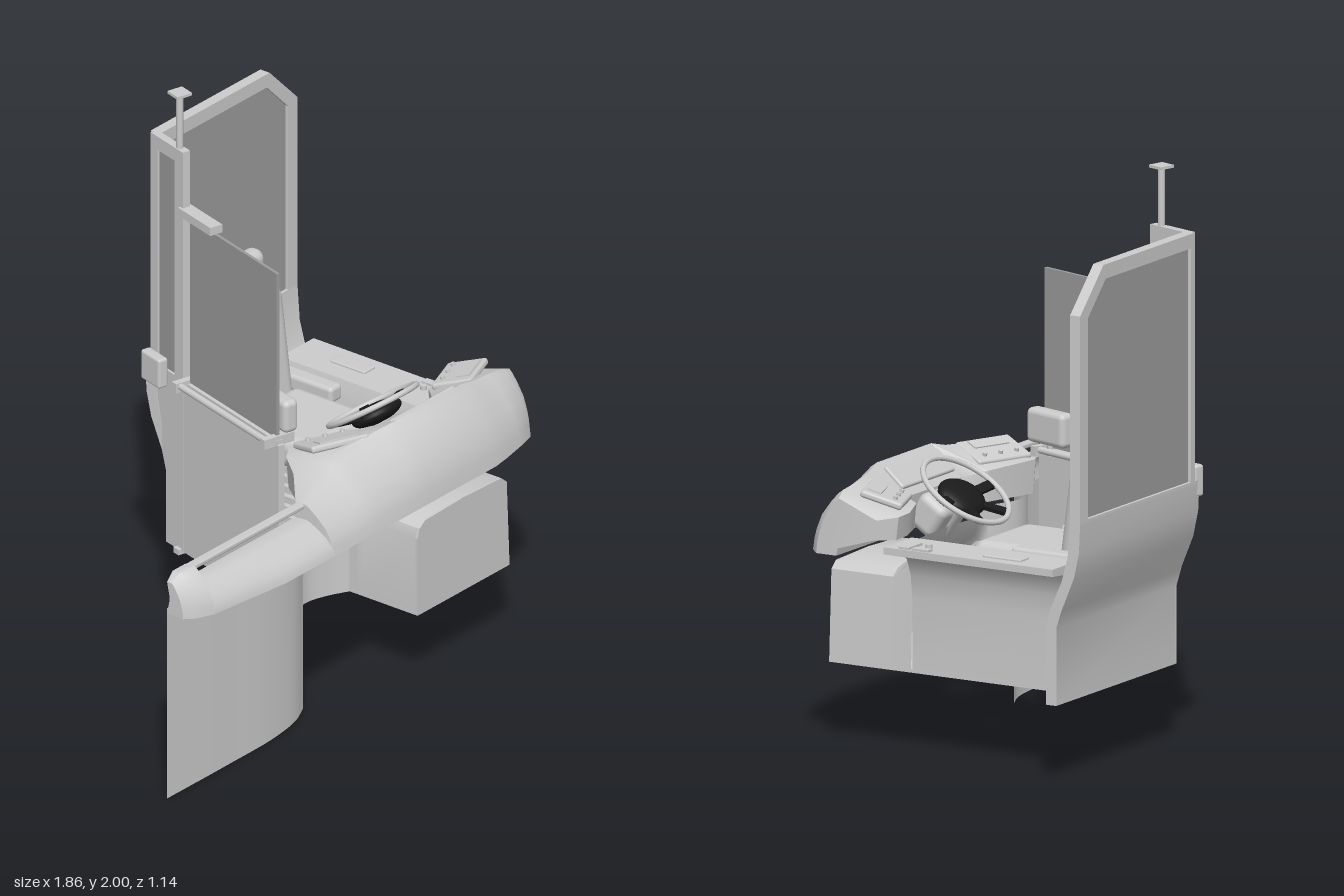
import * as THREE from 'three';
import { RoundedBoxGeometry } from 'three/addons/geometries/RoundedBoxGeometry.js';
import { toCreasedNormals } from 'three/addons/utils/BufferGeometryUtils.js';

const grey = new THREE.MeshStandardMaterial({ color: 0xcccccc, side: THREE.DoubleSide });
const glass = new THREE.MeshStandardMaterial({ color: 0x9c9c9c, side: THREE.DoubleSide });
const black = new THREE.MeshStandardMaterial({ color: 0x1a1a1a });

function add(parent, name, geometry, x = 0, y = 0, z = 0, material = grey) {
  const mesh = new THREE.Mesh(geometry, material);
  mesh.name = name;
  mesh.position.set(x, y, z);
  parent.add(mesh);
  return mesh;
}
const box = (w, h, d) => new THREE.BoxGeometry(w, h, d);
const rounded = (w, h, d, r) => new RoundedBoxGeometry(w, h, d, 4, r);
const cylinder = (r, h, n = 20) => new THREE.CylinderGeometry(r, r, h, n);
const outline = (pts) => new THREE.Shape(pts.map((p) => new THREE.Vector2(...p)));
const slab = (shape, depth) => new THREE.ExtrudeGeometry(shape, { depth, bevelEnabled: false });

// Skin over a list of equal-length point rows
function loft(rows, closed, crease = 0.7) {
  const n = rows[0].length, index = [], last = closed ? n : n - 1;
  for (let i = 0; i < rows.length - 1; i++) {
    for (let j = 0; j < last; j++) {
      const k = (j + 1) % n, a = i * n + j, b = i * n + k, c = a + n, d = b + n;
      index.push(a, c, b, b, c, d);
    }
  }
  if (closed) {
    const e = (rows.length - 1) * n;
    for (let j = 1; j < n - 1; j++) index.push(0, j, j + 1, e, e + j + 1, e + j);
  }
  const g = new THREE.BufferGeometry();
  g.setAttribute('position', new THREE.Float32BufferAttribute(rows.flat(2), 3));
  g.setIndex(index);
  return toCreasedNormals(g, crease);
}

// Upright sheet following a plan curve of [x, z] points
function sheet(points, y0, y1) {
  const curve = new THREE.CatmullRomCurve3(points.map(([x, z]) => new THREE.Vector3(x, 0, z)));
  return loft([y0, y1].map((y) => curve.getPoints(40).map((p) => [p.x, y, p.z])), false);
}

function buildDashboard(root) {
  // Each station: x, front z, crest y, crest z, back z, back y
  const stations = [
    [-0.93, 0.47, 0.82, 0.42, 0.40, 0.82], [-0.90, 0.50, 0.85, 0.43, 0.40, 0.85],
    [-0.832, 0.53, 0.855, 0.44, 0.40, 0.85], [-0.83, 0.53, 0.80, 0.45, 0.40, 0.795],
    [-0.5, 0.57, 0.80, 0.45, 0.40, 0.795], [-0.24, 0.57, 0.80, 0.45, 0.40, 0.795],
    [-0.238, 0.57, 0.855, 0.44, 0.40, 0.85], [-0.10, 0.57, 0.88, 0.39, 0.28, 0.865],
    [-0.04, 0.57, 0.915, 0.37, 0.20, 0.88], [0.02, 0.57, 0.93, 0.37, 0.165, 0.89],
    [0.22, 0.57, 0.95, 0.40, 0.23, 0.88], [0.28, 0.57, 0.965, 0.42, 0.30, 0.86],
    [0.63, 0.57, 0.965, 0.42, 0.30, 0.86], [0.70, 0.56, 0.945, 0.41, 0.22, 0.86],
    [0.80, 0.54, 0.93, 0.40, 0.185, 0.85], [0.88, 0.52, 0.92, 0.40, 0.18, 0.85],
    [0.925, 0.48, 0.90, 0.39, 0.24, 0.84],
  ];
  const face = [[0, 0], [0.05, 0.18], [0.12, 0.33], [0.3, 0.57], [0.6, 0.79], [0.85, 0.94], [1, 1]];
  const rows = stations.map(([x, zf, yc, zc, zb, yb]) => [
    ...face.map(([t, h]) => [x, 0.7 + (yc - 0.7) * h, zf + (zc - zf) * t]),
    [x, yb, zb], [x, 0.77, zb + 0.01], [x, 0.75, Math.max(zb + 0.01, 0.39)], [x, 0.70, 0.40],
  ]);
  add(root, 'dashboard', loft(rows, true));
  add(root, 'dashboardRail', rounded(0.61, 0.018, 0.035, 0.006), -0.535, 0.844, 0.42);

  // Tilted switch panels on both sides of the instrument cluster
  for (const [x, y, z, ry, w] of [[0.09, 0.918, 0.29, -0.4, 0.22], [0.79, 0.898, 0.285, 0.35, 0.18]]) {
    const pod = new THREE.Group();
    pod.name = 'switchPanel';
    pod.position.set(x, y, z);
    pod.rotation.set(-0.3, ry, 0, 'YXZ');
    root.add(pod);
    add(pod, 'panelPlate', rounded(w, 0.025, 0.15, 0.01));
    add(pod, 'panelTray', box(w * 0.65, 0.006, 0.05), 0, 0.014, 0.035);
    for (const i of [-1, 0, 1]) add(pod, 'knob', cylinder(0.008, 0.015), i * w * 0.3, 0.016, -0.04);
  }
  const cluster = add(root, 'instrumentCluster', rounded(0.34, 0.02, 0.1, 0.008), 0.455, 0.915, 0.36);
  cluster.rotation.x = -0.72;
}

function buildShell(root) {
  // Curved skirt: tall part ends early, the rest sweeps in to the footwell
  add(root, 'frontSkirt', sheet([[-0.93, 0.40], [-0.6, 0.40], [-0.35, 0.395], [-0.2, 0.37], [-0.11, 0.33]], 0, 0.72));
  add(root, 'innerSkirt', sheet([[-0.11, 0.33], [-0.06, 0.28], [0, 0.21], [0.08, 0.19], [0.16, 0.21], [0.24, 0.25]], 0.28, 0.76));
  add(root, 'skirtHatch', box(0.18, 0.09, 0.03), 0.115, 0.605, 0.22);

  // Footwell: arched shell with closed front and floor
  const arch = [[0.24, 0.28], [0.24, 0.57], [0.25, 0.605], [0.28, 0.625], [0.48, 0.632], [0.69, 0.625], [0.72, 0.60], [0.735, 0.28]];
  add(root, 'footwellFront', slab(outline(arch), 0.01), 0, 0, 0.535);
  add(root, 'footwellShell', loft([0.54, 0.3].map((z) => arch.map(([x, y]) => [x, y, z])), false));
  add(root, 'footwellRise', loft([[0.3, 0], [0.25, 0.04], [0.22, 0.11]].map(([z, dy]) =>
    arch.map(([x, y]) => [x, y > 0.5 ? y + dy : y, z])), false));
  add(root, 'footwellFloor', box(0.495, 0.012, 0.42), 0.487, 0.286, 0.33);
  add(root, 'footwellSide', box(0.012, 0.36, 0.17), 0.246, 0.46, 0.2);

  // Side console, flaring out to a shelf
  const side = [[0.715, 0.28], [0.735, 0.28], [0.735, 0.54], [0.745, 0.62], [0.77, 0.68], [0.81, 0.715],
    [0.92, 0.725], [0.92, 0.75], [0.74, 0.75], [0.72, 0.68]];
  add(root, 'sideConsole', toCreasedNormals(slab(outline(side), 0.67), 0.6), 0, 0, -0.455);
  add(root, 'consoleLid', rounded(0.06, 0.012, 0.15, 0.005), 0.845, 0.752, -0.225);
  add(root, 'consoleSwitches', box(0.09, 0.012, 0.04), 0.87, 0.752, 0.14);
  add(root, 'consoleSocket', box(0.03, 0.012, 0.065), 0.90, 0.752, 0.075);
  add(root, 'consoleKnob', cylinder(0.012, 0.02), 0.855, 0.755, 0.075);

  // Rear wall: S-shaped base below a glazed frame
  const back = [[-0.43, 0.28], [-0.43, 0.55], [-0.445, 0.61], [-0.49, 0.71], [-0.515, 0.80], [-0.525, 0.93],
    [-0.565, 0.93], [-0.56, 0.82], [-0.54, 0.73], [-0.49, 0.61], [-0.47, 0.55], [-0.47, 0.28]];
  const base = slab(outline(back), 0.77).rotateY(-Math.PI / 2);
  add(root, 'rearWallBase', toCreasedNormals(base, 0.6), 0.92);
  const frame = outline([[0.18, 0.92], [0.92, 0.92], [0.92, 1.64], [0.77, 1.79], [0.18, 1.79]]);
  const pane = [[0.205, 0.93], [0.87, 0.93], [0.87, 1.625], [0.755, 1.74], [0.205, 1.74]];
  frame.holes.push(outline(pane));
  add(root, 'rearWallFrame', slab(frame, 0.04), 0, 0, -0.565);
  add(root, 'rearGlass', slab(outline(pane), 0.018), 0, 0, -0.554, glass);
}

// Door side: local x runs along the door to the front, local z points outward
function buildDoor(root) {
  const door = new THREE.Group();
  door.name = 'doorSide';
  door.position.set(0.13, 0, -0.37);
  door.rotation.y = -1.852;
  root.add(door);
  const post = outline([[-0.1, 0.28], [-0.1, 0.55], [-0.19, 0.8], [-0.19, 1.79], [0, 1.79], [0, 0.28]]);
  const pane = [[-0.15, 0.93], [-0.05, 0.93], [-0.05, 1.74], [-0.15, 1.74]];
  post.holes.push(outline(pane));
  add(door, 'cornerFrame', slab(post, 0.03), 0, 0, -0.015);
  add(door, 'cornerGlass', slab(outline(pane), 0.012), 0, 0, -0.006, glass);
  add(door, 'doorPanel', box(0.57, 0.63, 0.025), 0.275, 0.595, 0);
  add(door, 'doorGlass', box(0.51, 0.62, 0.012), 0.285, 1.24, 0, glass);
  add(door, 'doorHeader', box(0.19, 0.03, 0.05), 0.08, 1.565, 0);
  add(door, 'doorSill', box(0.55, 0.02, 0.03), 0.275, 0.915, 0);
  for (const s of [-1, 1]) {
    add(door, 'handrail', cylinder(0.012, 0.53).rotateZ(Math.PI / 2), 0.275, 0.925, s * 0.042);
  }
  for (const x of [0.015, 0.535]) add(door, 'railBracket', box(0.025, 0.035, 0.125), x, 0.922, 0);
  for (const x of [-0.02, 0.54]) add(door, 'doorFoot', box(0.03, 0.02, 0.06), x, 0.28, 0);
  add(door, 'terminal', rounded(0.185, 0.12, 0.06, 0.02), 0.48, 1.01, -0.035);
  add(door, 'terminalStand', cylinder(0.01, 0.06), 0.48, 0.94, -0.035);
  add(door, 'outerHandle', rounded(0.11, 0.11, 0.04, 0.01), -0.14, 0.925, 0.035);
  add(door, 'pole', cylinder(0.012, 0.22), -0.04, 1.89, 0);
  add(door, 'poleCap', box(0.06, 0.01, 0.06), -0.04, 1.995, 0);
}

function buildSeat(root) {
  const seat = new THREE.Group();
  seat.name = 'driverSeat';
  seat.position.set(0.46, 0, 0);
  root.add(seat);
  add(seat, 'cushion', rounded(0.36, 0.12, 0.36, 0.045), 0, 0.68, -0.13);
  add(seat, 'backrest', rounded(0.34, 0.45, 0.12, 0.05), 0, 0.885, -0.37).rotation.x = -0.13;
  add(seat, 'headrest', rounded(0.225, 0.14, 0.075, 0.035), 0, 1.18, -0.412);
  add(seat, 'headrestPost', box(0.1, 0.06, 0.02), 0, 1.1, -0.41);
  add(seat, 'armrest', rounded(0.065, 0.06, 0.26, 0.015), 0.22, 0.725, -0.29);
  add(seat, 'parkingBrake', rounded(0.07, 0.05, 0.1, 0.015), -0.21, 0.69, -0.155);
  add(seat, 'brakeKnob', new THREE.SphereGeometry(0.022, 16, 12), -0.215, 0.72, -0.1);
  // Bellows of the seat base
  for (let i = 0; i < 8; i++) {
    const w = 0.16 + i * 0.014;
    add(seat, 'bellowsFold', box(w, 0.022, w), 0, 0.30 + i * 0.042, -0.17);
    add(seat, 'bellowsNeck', box(w - 0.04, 0.025, w - 0.04), 0, 0.32 + i * 0.042, -0.17);
  }
}

function buildSteering(root) {
  const wheel = new THREE.Group();
  wheel.name = 'steering';
  wheel.position.set(0.47, 0.868, 0.165);
  wheel.rotation.x = -0.59;
  root.add(wheel);
  add(wheel, 'wheelRim', new THREE.TorusGeometry(0.165, 0.01, 12, 48).rotateX(Math.PI / 2));
  add(wheel, 'wheelHub', new THREE.SphereGeometry(0.1, 24, 16).scale(1, 0.35, 0.85), 0, -0.03, 0, black);
  for (const a of [0.05, Math.PI - 0.05, 1.0, Math.PI - 1.0]) {
    const spoke = add(wheel, 'spoke', box(0.09, 0.014, 0.035),
      Math.cos(a) * 0.12, -0.014, -Math.sin(a) * 0.12, black);
    spoke.rotation.set(0, a, 0.2);
  }
  add(wheel, 'column', cylinder(0.035, 0.36), 0, -0.22, 0);
  add(wheel, 'columnShroud', rounded(0.19, 0.13, 0.12, 0.03), 0, -0.13, 0.04);
}

export function createModel() {
  const root = new THREE.Group();
  root.name = 'driverCab';
  buildShell(root);
  buildDashboard(root);
  buildDoor(root);
  buildSeat(root);
  buildSteering(root);
  return root;
}
